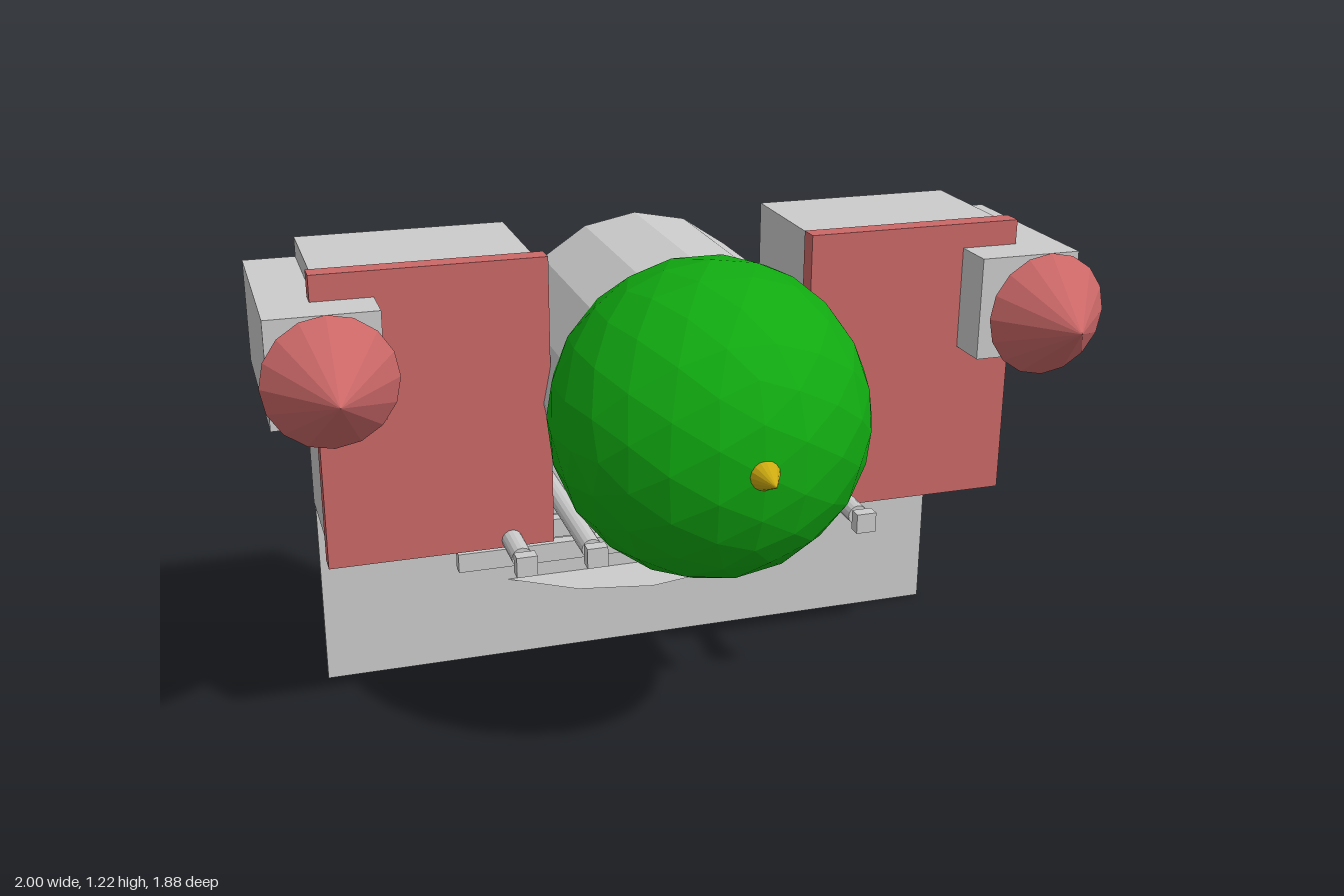
import * as THREE from 'three';

const mat = (color) => new THREE.MeshStandardMaterial({ color, flatShading: true });

export function createModel() {
  const model = new THREE.Group();
  const grey = mat(0xcccccc), red = mat(0xcc6868), green = mat(0x11aa11), yellow = mat(0xccaa11);

  const add = (name, geometry, material, x, y, z) => {
    const mesh = new THREE.Mesh(geometry, material);
    mesh.name = name;
    mesh.position.set(x, y, z);
    model.add(mesh);
    return mesh;
  };
  // Box given by its minimum and maximum on each axis
  const box = (name, material, [x0, x1], [y0, y1], [z0, z1]) =>
    add(name, new THREE.BoxGeometry(x1 - x0, y1 - y0, z1 - z0), material,
      (x0 + x1) / 2, (y0 + y1) / 2, (z0 + z1) / 2);
  // Cone and cylinder along z, from back z0 to front z1
  const coneZ = (name, material, r, x, y, z0, z1) =>
    add(name, new THREE.ConeGeometry(r, z1 - z0, 16).rotateX(Math.PI / 2), material, x, y, (z0 + z1) / 2);
  const cylinderZ = (name, material, r, x, y, z0, z1) =>
    add(name, new THREE.CylinderGeometry(r, r, z1 - z0, 16).rotateX(Math.PI / 2), material, x, y, (z0 + z1) / 2);

  // Central drum with the faceted ball in its mouth
  cylinderZ('drum', grey, 0.34, 0, 0.85, -0.095, 0.5);
  add('ball', new THREE.IcosahedronGeometry(0.372, 3), green, 0, 0.85, 0.5);
  coneZ('ballTip', yellow, 0.037, 0, 0.85, 0.86, 0.935);
  add('smallBall', new THREE.IcosahedronGeometry(0.068, 2), green, 0, 0.48, 0.333);

  // Mirrored side assemblies
  for (const s of [-1, 1]) {
    const side = s > 0 ? 'left' : 'right';
    const span = (a, b) => (s > 0 ? [a, b] : [-b, -a]);
    box(side + 'Body', grey, span(0.34, 0.85), [0.5, 1.19], [-0.095, 0.25]);
    box(side + 'FrontPanel', red, span(0.322, 0.862), [0.495, 1.203], [0.253, 0.303]);
    box(side + 'Shoulder', grey, span(0.72, 0.975), [0.89, 1.142], [-0.095, 0.41]);
    coneZ(side + 'Nozzle', red, 0.15, s * 0.848, 1.02, 0.5, 0.665);

    // Rods below the body, each with a square end block
    for (const x of [0.087, 0.256, 0.425]) {
      cylinderZ(side + 'Rod', grey, 0.025, s * x, 0.513, -0.096, 0.41);
      box(side + 'RodEnd', grey, [s * x - 0.025, s * x + 0.025], [0.488, 0.538], [0.43, 0.462]);
    }
  }

  // Upright back plate with three steps on its front
  box('backPlate', grey, [-0.848, 0.848], [0, 0.68], [-0.0965, -0.08]);
  for (let i = 0; i < 3; i++) {
    const z = -0.022 - i * 0.035;
    box('step', grey, [-0.505, 0.505], [0.3 + i * 0.051, 0.351 + i * 0.051], [z, z + 0.032]);
  }

  // Shallow dish cone pointing down behind the plate
  add('dish', new THREE.ConeGeometry(0.505, 0.13, 16).rotateX(Math.PI), grey, 0, 0.155, -0.435);

  return model;
}
